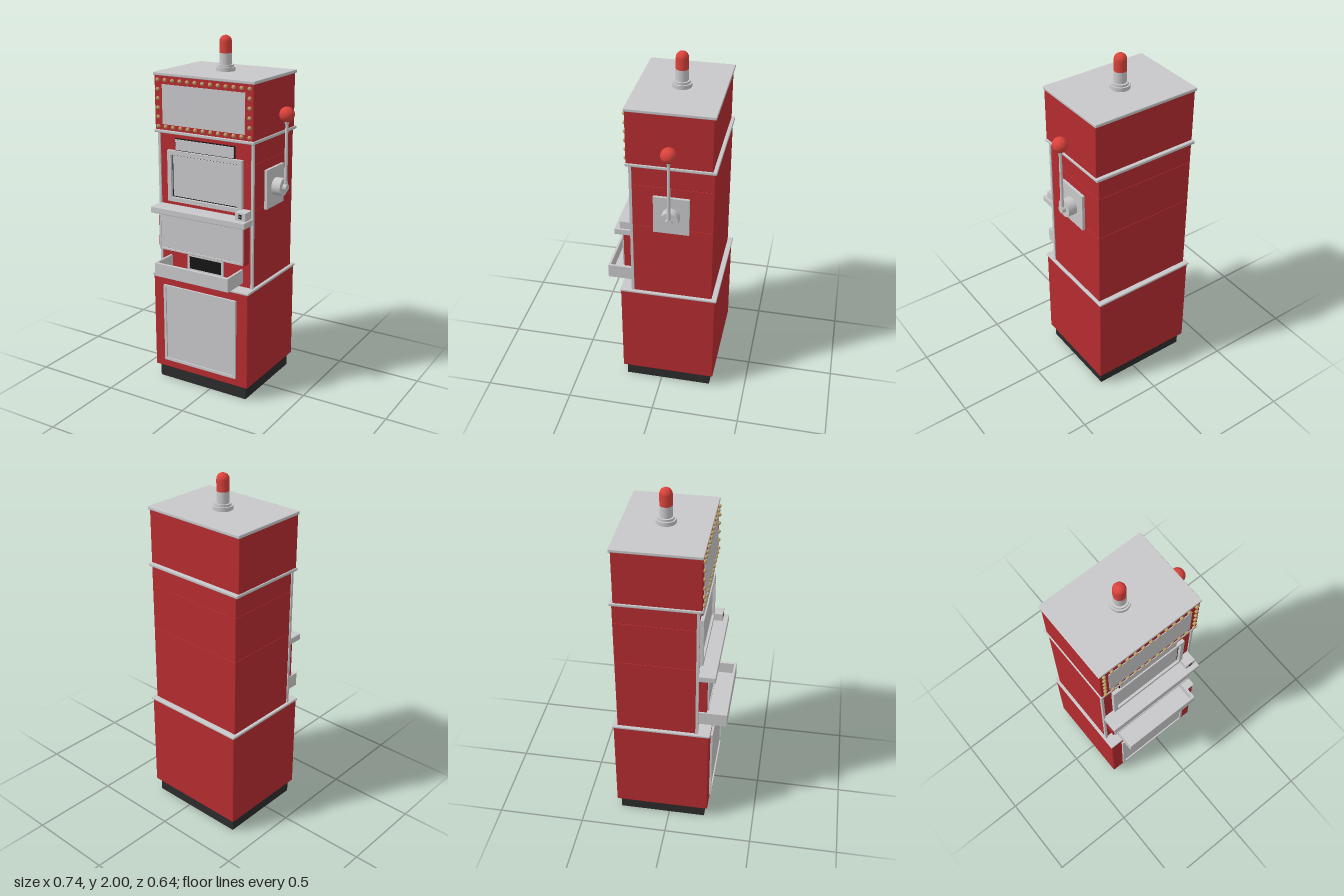
import * as THREE from 'three';
import { RoundedBoxGeometry } from 'three/addons/geometries/RoundedBoxGeometry.js';

const paint = (name, color) => {
  const m = new THREE.MeshStandardMaterial({ color });
  m.name = name;
  return m;
};

export function createModel() {
  const red = paint('cabinet red', 0xb52c30);
  const silver = paint('silver', 0xc8c8ca);
  const dark = paint('plinth black', 0x2b2b2b);
  const black = paint('slot black', 0x151515);
  const bright = paint('bright red', 0xdb423b);
  const gold = paint('bulb gold', 0xc0a468);

  const model = new THREE.Group();
  const CX = -0.053; // cabinet centre line

  const add = (name, geo, mat, x, y, z, parent = model) => {
    const mesh = new THREE.Mesh(geo, mat);
    mesh.name = name;
    mesh.position.set(x, y, z);
    parent.add(mesh);
    return mesh;
  };
  // Box given by its extents; r rounds the edges
  const box = (name, mat, [x0, x1], [y0, y1], [z0, z1], r = 0, parent = model) => {
    const size = [x1 - x0, y1 - y0, z1 - z0];
    const geo = r ? new RoundedBoxGeometry(...size, 2, r) : new THREE.BoxGeometry(...size);
    return add(name, geo, mat, (x0 + x1) / 2, (y0 + y1) / 2, (z0 + z1) / 2, parent);
  };
  // Rectangular frame facing +z
  const frame = (name, mat, [x0, x1], [y0, y1], [z0, z1], w) => {
    const s = new THREE.Shape([[x0, y0], [x1, y0], [x1, y1], [x0, y1]].map(p => new THREE.Vector2(...p)));
    s.holes.push(new THREE.Path([[x0 + w, y0 + w], [x0 + w, y1 - w], [x1 - w, y1 - w], [x1 - w, y0 + w]]
      .map(p => new THREE.Vector2(...p))));
    return add(name, new THREE.ExtrudeGeometry(s, { depth: z1 - z0, bevelEnabled: false }), mat, 0, 0, z0);
  };
  const wide = h => [CX - h, CX + h];

  // Cabinet stack
  box('plinth', dark, wide(0.29), [0, 0.085], [-0.29, 0.21]);
  box('lowerCabinet', red, wide(0.311), [0.078, 0.648], [-0.312, 0.23], 0.006);
  box('lowerTrim', silver, wide(0.317), [0.646, 0.661], [-0.32, 0.235], 0.005);
  [[0.655, 1.106], [1.106, 1.36], [1.36, 1.48]].forEach((y, i) =>
    box('middleCabinet' + (i + 1), red, wide(0.3), y, [-0.29, 0.16], 0.003));
  box('upperTrim', silver, wide(0.317), [1.475, 1.493], [-0.3, 0.185], 0.005);
  box('topBox', red, wide(0.311), [1.49, 1.795], [-0.28, 0.18], 0.004);
  box('topCap', silver, wide(0.317), [1.79, 1.808], [-0.29, 0.184], 0.004);

  // Edge strips on the front corners
  for (const s of [-1, 1]) {
    const x = CX + s * 0.298;
    box('edgeStrip', silver, [x - 0.007, x + 0.007], [0.66, 1.476], [0.152, 0.167]);
  }

  // Lit sign with its bulbs
  box('signPanel', silver, [-0.313, 0.207], [1.525, 1.745], [0.178, 0.184]);
  const bulbs = new THREE.Group();
  bulbs.name = 'signBulbs';
  model.add(bulbs);
  const bulbGeo = new THREE.SphereGeometry(0.011, 12, 8);
  const bulb = (x, y) => add('bulb', bulbGeo, gold, x, y, 0.183, bulbs);
  for (let i = 0; i < 13; i++) {
    const x = CX + (i - 6) * 0.048;
    bulb(x, 1.512);
    bulb(x, 1.768);
  }
  for (let i = 1; i < 5; i++) for (const s of [-1, 1]) bulb(CX + s * 0.288, 1.512 + i * 0.0512);

  // Small display above the screen
  box('displayBack', black, [-0.242, 0.139], [1.383, 1.451], [0.158, 0.169]);
  box('displayFace', silver, [-0.238, 0.135], [1.387, 1.447], [0.165, 0.174]);

  // Main screen
  frame('screenFrame', silver, [-0.29, 0.187], [1.09, 1.382], [0.158, 0.18], 0.024);
  box('screenSurround', black, [-0.268, 0.165], [1.112, 1.36], [0.158, 0.163]);
  box('screen', silver, [-0.259, 0.154], [1.12, 1.352], [0.16, 0.167]);

  // Shelf and coin unit
  box('shelf', silver, [-0.355, 0.25], [1.03, 1.066], [0.155, 0.257], 0.004);
  box('coinUnit', silver, [0.176, 0.24], [1.064, 1.112], [0.158, 0.228], 0.003);
  box('coinSlot', black, [0.198, 0.217], [1.077, 1.101], [0.224, 0.23]);
  box('coinSlotBar', silver, [0.205, 0.21], [1.084, 1.094], [0.226, 0.232]);

  // Belly panel below the shelf
  box('bellyBox', red, [-0.334, 0.226], [0.805, 1.025], [0.155, 0.212], 0.003);
  box('bellyPanel', silver, [-0.315, 0.209], [0.822, 1.008], [0.208, 0.216]);
  frame('bellyFrame', silver, [-0.325, 0.219], [0.81, 1.018], [0.21, 0.22], 0.01);

  // Payout chute and open tray
  frame('chuteFrame', silver, [-0.172, 0.064], [0.69, 0.79], [0.158, 0.17], 0.012);
  box('chuteOpening', black, [-0.162, 0.054], [0.7, 0.78], [0.158, 0.164]);
  const tray = new THREE.Group();
  tray.name = 'payoutTray';
  model.add(tray);
  box('trayFloor', silver, [-0.293, 0.187], [0.682, 0.694], [0.156, 0.318], 0, tray);
  box('trayFront', silver, [-0.293, 0.187], [0.682, 0.762], [0.305, 0.32], 0.003, tray);
  box('traySideRight', silver, [-0.293, -0.28], [0.682, 0.762], [0.156, 0.31], 0, tray);
  box('traySideLeft', silver, [0.174, 0.187], [0.682, 0.762], [0.156, 0.31], 0, tray);

  // Lower door panel
  box('doorPanel', silver, [-0.28, 0.175], [0.14, 0.59], [0.226, 0.234]);
  frame('doorFrame', silver, [-0.292, 0.187], [0.128, 0.602], [0.226, 0.242], 0.015);

  // Pull lever on the model's left side
  const lever = new THREE.Group();
  lever.name = 'pullLever';
  lever.position.set(0, 1.198, -0.062);
  model.add(lever);
  box('leverPlate', silver, [0.245, 0.263], [-0.112, 0.11], [-0.098, 0.098], 0, lever);
  const hub = (name, r, x0, x1) => {
    const m = add(name, new THREE.CylinderGeometry(r, r, x1 - x0, 32), silver, (x0 + x1) / 2, 0, 0, lever);
    m.rotation.z = Math.PI / 2;
  };
  hub('leverHub', 0.05, 0.26, 0.315);
  hub('leverPivot', 0.02, 0.31, 0.336);
  add('leverRod', new THREE.CylinderGeometry(0.008, 0.01, 0.39, 16), silver, 0.325, 0.19, 0, lever);
  add('leverCollar', new THREE.CylinderGeometry(0.014, 0.01, 0.016, 16), silver, 0.325, 0.36, 0, lever);
  add('leverKnob', new THREE.SphereGeometry(0.042, 32, 20), bright, 0.325, 0.405, 0, lever);

  // Beacon on the roof
  const beacon = new THREE.Group();
  beacon.name = 'beacon';
  beacon.position.set(CX, 0, -0.055);
  model.add(beacon);
  const tube = (name, r, y0, y1, mat) =>
    add(name, new THREE.CylinderGeometry(r, r, y1 - y0, 32), mat, 0, (y0 + y1) / 2, 0, beacon);
  tube('beaconFoot', 0.054, 1.805, 1.83, silver);
  tube('beaconStep', 0.045, 1.83, 1.842, silver);
  tube('beaconNeck', 0.034, 1.84, 1.905, silver);
  tube('beaconLamp', 0.034, 1.905, 1.966, bright);
  add('beaconDome', new THREE.SphereGeometry(0.034, 32, 10, 0, Math.PI * 2, 0, Math.PI / 2), bright, 0, 1.966, 0, beacon);

  return model;
}
